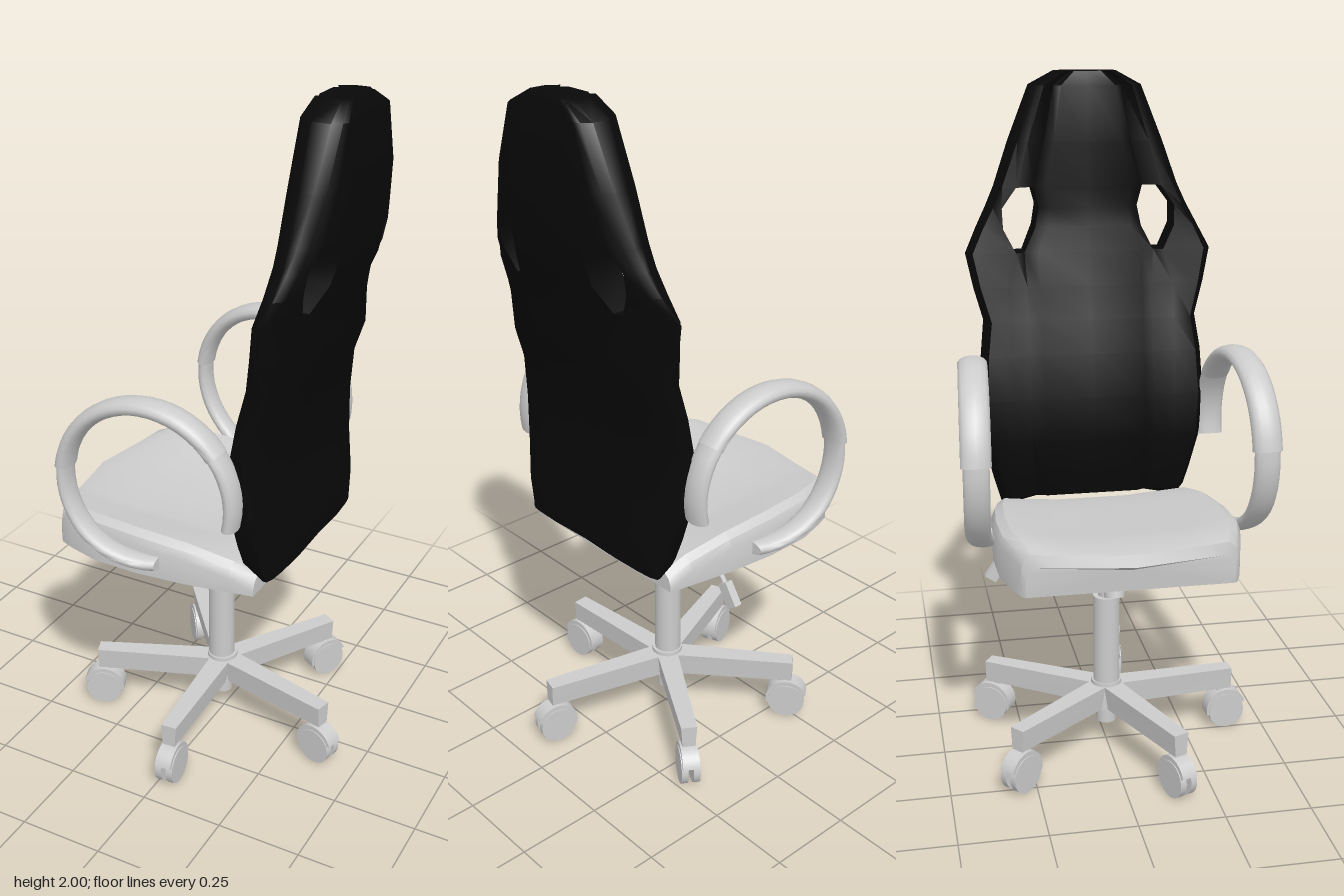
import * as THREE from 'three';
import { toCreasedNormals } from 'three/addons/utils/BufferGeometryUtils.js';

const grey = new THREE.MeshStandardMaterial({ color: 0xcccccc });
const black = new THREE.MeshStandardMaterial({ color: 0x080808 });

function add(parent, name, geometry, material = grey, pos = [0, 0, 0]) {
  const mesh = new THREE.Mesh(geometry, material);
  mesh.name = name;
  mesh.position.set(...pos);
  parent.add(mesh);
  return mesh;
}

// Solid from consistently wound polygons; turned outward if its volume is negative
function solid(faces, crease) {
  let tris = [];
  for (const f of faces) for (let i = 1; i < f.length - 1; i++) tris.push([f[0], f[i], f[i + 1]]);
  const v = (p) => new THREE.Vector3(...p);
  const volume = tris.reduce((s, [a, b, c]) => s + v(a).dot(v(b).cross(v(c))), 0);
  if (volume < 0) tris = tris.map(([a, b, c]) => [a, c, b]);
  const g = new THREE.BufferGeometry();
  g.setAttribute('position', new THREE.Float32BufferAttribute(tris.flat(2), 3));
  return toCreasedNormals(g, crease);
}

// Skin over a row of closed cross-sections, capped at both ends
function loft(rings, crease = 0.7) {
  const n = rings[0].length, faces = [];
  for (let i = 0; i < rings.length - 1; i++)
    for (let j = 0; j < n; j++) {
      const k = (j + 1) % n;
      faces.push([rings[i][j], rings[i][k], rings[i + 1][k], rings[i + 1][j]]);
    }
  const cap = (ring, flip) => {
    const c = [0, 1, 2].map((a) => ring.reduce((s, p) => s + p[a], 0) / n);
    ring.forEach((p, j) => faces.push(flip ? [c, ring[(j + 1) % n], p] : [c, p, ring[(j + 1) % n]]));
  };
  cap(rings[0], true);
  cap(rings[rings.length - 1], false);
  return solid(faces, crease);
}

function backrestGeometry() {
  // y, half width, inner seam z, outer seam z, front x, rear x
  const rows = [
    [2.0, .09, .05, .07, .29, .39], [1.96, .165, .1, .13, .28, .41],
    [1.8, .23, .13, .18, .275, .42], [1.67, .277, .164, .217, .275, .412],
    [1.61, .305, .148, .26, .275, .405], [1.55, .337, .16, .258, .268, .393],
    [1.48, .37, .195, .222, .255, .365], [1.38, .35, .19, .25, .238, .352],
    [1.28, .322, .19, .25, .215, .33], [1.18, .335, .19, .25, .195, .295],
    [1.05, .342, .19, .25, .173, .285], [.92, .335, .19, .25, .172, .29],
    [.8, .307, .18, .24, .185, .31], [.74, .29, .17, .23, .195, .312],
    [.705, .28, .17, .22, .25, .31],
  ];
  const front = [], rear = [];
  rows.forEach(([y, half, zin, zout, xf, xb], i) => {
    const t = xb - xf, slope = y > 1.3 ? .28 : .12;
    // z, front inset, rear inset
    const side = [[zin * .8, 0, 0], [zin, .018, 0], [zout, 0, 0], [half - .02, t * .08, t * .06], [half, t * .35, t * .2]];
    const cols = [...side.map(([z, f, b]) => [-z, f, b]).reverse(), [0, 0, 0], ...side];
    const arch = (z) => y + (i === rows.length - 1 ? .02 * (1 - (z / half) ** 2) : 0);
    front.push(cols.map(([z, f]) => [xf + f, arch(z), z]));
    rear.push(cols.map(([z, , b]) => [xb - b - slope * Math.max(0, Math.abs(z) - .14), arch(z), z]));
  });
  const nc = front[0].length - 1, nr = rows.length - 1;
  const filled = (i, j) => i >= 0 && j >= 0 && i < nr && j < nc && !(i >= 3 && i <= 5 && (j === 2 || j === 7));
  const faces = [];
  for (let i = 0; i < nr; i++)
    for (let j = 0; j < nc; j++) {
      if (!filled(i, j)) continue;
      const c = [[i, j], [i, j + 1], [i + 1, j + 1], [i + 1, j]];
      faces.push(c.map(([a, b]) => front[a][b]));
      faces.push(c.map(([a, b]) => rear[a][b]).reverse());
      // Walls around the outline and the two openings
      [[-1, 0], [0, 1], [1, 0], [0, -1]].forEach(([di, dj], k) => {
        if (filled(i + di, j + dj)) return;
        const [a, b] = c[k], [d, e] = c[(k + 1) % 4];
        faces.push([front[d][e], front[a][b], rear[a][b], rear[d][e]]);
      });
    }
  return solid(faces, .75);
}

function seatGeometry() {
  // x, half width, top y, dish depth
  const rows = [
    [-.438, .29, .745, 0], [-.425, .3, .78, .003], [-.37, .317, .795, .01], [-.25, .343, .797, .025],
    [-.1, .347, .79, .035], [.05, .334, .775, .035], [.18, .312, .745, .02], [.25, .3, .715, .01],
  ];
  return loft(rows.map(([x, half, top, dish], i) => {
    const inner = .76 - .035 * i;
    const side = [[1, .66], [1, top - .04], [.97, top - .015], [.9, top], [inner, top - dish * .6], [inner - .15, top - dish]];
    const ring = [...side, [0, top - dish], ...side.map(([f, y]) => [-f, y]).reverse()];
    const bow = .05 * Math.max(0, (-x - .2) / .24);
    return ring.map(([f, y]) => [x + bow * Math.abs(f), y, f * half]);
  }), .6);
}

// Piece of the ring-shaped armrest between two angles in degrees
function armPiece(from, to, width, thick) {
  const rings = [], steps = Math.ceil((to - from) / 7);
  for (let i = 0; i <= steps; i++) {
    const deg = from + (to - from) * i / steps, a = THREE.MathUtils.degToRad(deg);
    const x0 = Math.cos(a) * .252;
    const z0 = .385 - x0 * .075 - .045 * Math.max(0, (deg - 215) / 55) ** 2;
    const ring = [];
    for (let k = 0; k < 14; k++) {
      const b = k / 14 * Math.PI * 2, r = .252 + Math.cos(b) * thick;
      ring.push([-.03 + Math.cos(a) * r, .963 + Math.sin(a) * r, z0 + Math.sin(b) * width]);
    }
    rings.push(ring);
  }
  return loft(rings, .8);
}

const cyl = (top, bottom, h, n = 24) => new THREE.CylinderGeometry(top, bottom, h, n);

function caster() {
  const g = new THREE.Group();
  g.name = 'caster';
  for (const s of [-1, 1])
    add(g, 'wheel', cyl(.056, .056, .02).rotateX(Math.PI / 2), grey, [0, .056, s * .018]);
  const hood = new THREE.CylinderGeometry(.064, .064, .05, 16, 1, false, 0, Math.PI);
  hood.rotateX(Math.PI / 2).rotateZ(Math.PI / 2 + .3);
  add(g, 'hood', hood, new THREE.MeshStandardMaterial({ color: 0xcccccc, side: THREE.DoubleSide }), [0, .062, 0]);
  add(g, 'stem', cyl(.014, .014, .05, 12), grey, [-.015, .125, 0]);
  return g;
}

export function createModel() {
  const chair = new THREE.Group();
  chair.name = 'officeChair';
  add(chair, 'backrest', backrestGeometry(), black);
  add(chair, 'seat', seatGeometry());

  // Armrests, mirrored across the seat
  for (const s of [1, -1]) {
    const arm = new THREE.Group();
    arm.name = s > 0 ? 'leftArmrest' : 'rightArmrest';
    const pieces = { armRear: [-13, 36, .041, .021], armPad: [36, 172, .043, .024], armFront: [172, 271, .037, .019] };
    for (const [name, p] of Object.entries(pieces)) {
      const geo = armPiece(...p);
      if (s < 0) {
        // Half a turn about x, then flip y back, with the face order reversed
        geo.scale(1, 1, -1);
        const pos = geo.attributes.position, nor = geo.attributes.normal;
        for (const at of [pos, nor])
          for (let i = 0; i < at.count; i += 3) {
            const b = new THREE.Vector3().fromBufferAttribute(at, i + 1);
            at.setXYZ(i + 1, at.getX(i + 2), at.getY(i + 2), at.getZ(i + 2));
            at.setXYZ(i + 2, b.x, b.y, b.z);
          }
      }
      add(arm, name, geo);
    }
    chair.add(arm);
  }

  // Tilt mechanism, tension knob and height lever
  add(chair, 'mountingPlate', new THREE.BoxGeometry(.42, .012, .27), black, [-.02, .656, 0]);
  const box = cyl(.16, .105, .032, 4).rotateY(Math.PI / 4).scale(1, 1, .62);
  add(chair, 'tiltMechanism', toCreasedNormals(box, .3), black, [-.025, .636, 0]);
  add(chair, 'knobShaft', cyl(.012, .012, .08, 12), grey, [-.107, .63, 0]).rotation.z = -.3;
  add(chair, 'tensionKnob', cyl(.034, .03, .085, 16), grey, [-.125, .573, 0]).rotation.z = -.3;
  add(chair, 'leverRod', cyl(.007, .007, .24, 8).rotateX(Math.PI / 2), grey, [.04, .632, -.16]);
  const lever = new THREE.CatmullRomCurve3([[.04, .632, -.27], [.04, .615, -.29], [.042, .595, -.305]].map((p) => new THREE.Vector3(...p)));
  add(chair, 'leverBend', new THREE.TubeGeometry(lever, 6, .008, 8));
  add(chair, 'leverPaddle', new THREE.BoxGeometry(.025, .075, .036), grey, [.042, .575, -.322]).rotation.x = .6;

  // Gas lift
  add(chair, 'piston', cyl(.025, .025, .17), grey, [-.008, .55, 0]);
  add(chair, 'pistonCollar', cyl(.034, .028, .07), grey, [-.008, .59, 0]);
  add(chair, 'column', cyl(.04, .04, .285), grey, [-.008, .343, 0]);
  add(chair, 'columnFoot', cyl(.03, .03, .1), grey, [-.005, .12, 0]);
  add(chair, 'hub', cyl(.046, .052, .085), grey, [-.005, .167, 0]);

  // Five-star base on casters
  for (let i = 0; i < 5; i++) {
    const leg = new THREE.Group();
    leg.name = 'baseLeg';
    const shape = (x, w, low) => [[x, .198, w], [x, .198, -w], [x, low, -w * .8], [x, low, w * .8]];
    add(leg, 'legBeam', loft([shape(.02, .032, .125), shape(.4, .024, .13)], .3));
    const wheel = caster();
    wheel.position.x = .385;
    leg.add(wheel);
    leg.rotation.y = -THREE.MathUtils.degToRad(14 + 72 * i);
    chair.add(leg);
  }
  return chair;
}
